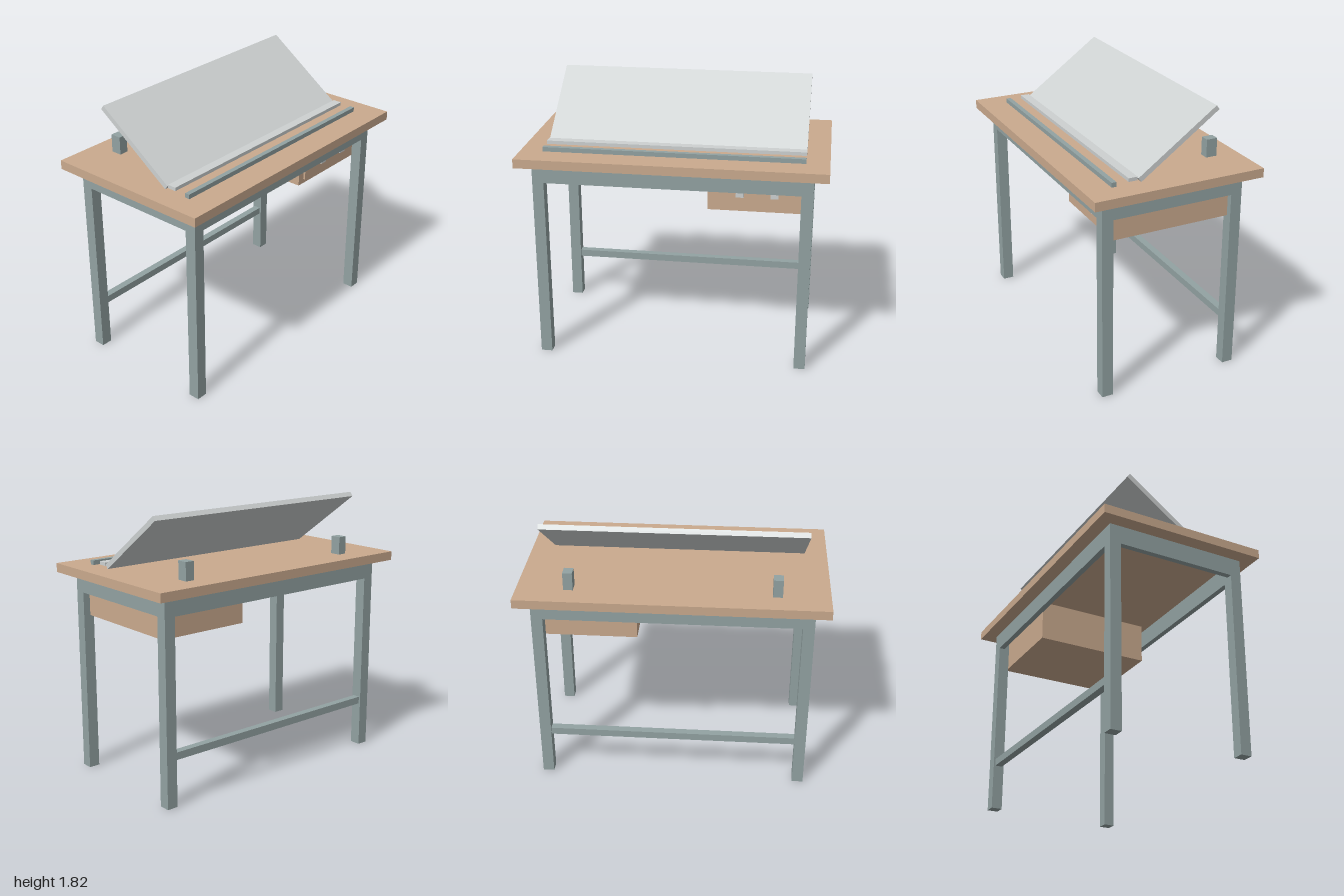
import * as THREE from 'three';

export function createModel() {
  const model = new THREE.Group();
  model.name = 'draftingTable';

  const frame = new THREE.MeshStandardMaterial({ name: 'grey green frame', color: 0x92a2a2 });
  const wood = new THREE.MeshStandardMaterial({ name: 'tan wood', color: 0xcaaa8e });
  const pale = new THREE.MeshStandardMaterial({ name: 'pale grey', color: 0xcdd1d1 });

  // Box given by its extents on each axis
  const box = (name, material, [x0, x1], [y0, y1], [z0, z1]) => {
    const mesh = new THREE.Mesh(new THREE.BoxGeometry(x1 - x0, y1 - y0, z1 - z0), material);
    mesh.position.set((x0 + x1) / 2, (y0 + y1) / 2, (z0 + z1) / 2);
    mesh.name = name;
    model.add(mesh);
    return mesh;
  };
  const span = (side, inner, outer) => (side > 0 ? [inner, outer] : [-outer, -inner]);

  // Tabletop
  box('tabletop', wood, [-1, 1], [1.36, 1.42], [-0.575, 0.575]);

  // Legs, and aprons flush with their outer faces
  for (const s of [-1, 1]) {
    for (const t of [-1, 1]) {
      box('leg', frame, span(s, 0.83, 0.905), [0, 1.36], span(t, 0.41, 0.485));
    }
    box('longApron', frame, [-0.83, 0.83], [1.235, 1.36], span(s, 0.447, 0.485));
    box('sideApron', frame, span(s, 0.867, 0.905), [1.235, 1.36], [-0.41, 0.41]);
  }

  // Rear stretcher
  box('stretcher', frame, [-0.83, 0.83], [0.31, 0.36], [-0.473, -0.423]);

  // Drawer with front panel and two pulls
  box('drawerBox', wood, [0.23, 0.867], [1.08, 1.36], [-0.41, 0.395]);
  box('drawerFront', wood, [0.28, 0.83], [1.11, 1.31], [0.395, 0.41]);
  for (const x of [0.44, 0.66]) {
    box('drawerPull', pale, [x - 0.025, x + 0.025], [1.19, 1.24], [0.41, 0.445]);
  }

  // Tilted drawing board
  const board = box('drawingBoard', pale, [-0.85, 0.85], [1.603, 1.637], [-0.379, 0.267]);
  board.rotation.x = 0.62;

  // Ledge below the board, and front stop bar
  box('boardLedge', pale, [-0.85, 0.85], [1.435, 1.458], [0.222, 0.282]);
  box('frontStop', frame, [-0.85, 0.85], [1.42, 1.45], [0.362, 0.394]);

  // Rear support posts
  for (const s of [-1, 1]) {
    box('supportPost', frame, span(s, 0.633, 0.695), [1.42, 1.54], [-0.422, -0.348]);
  }

  return model;
}
